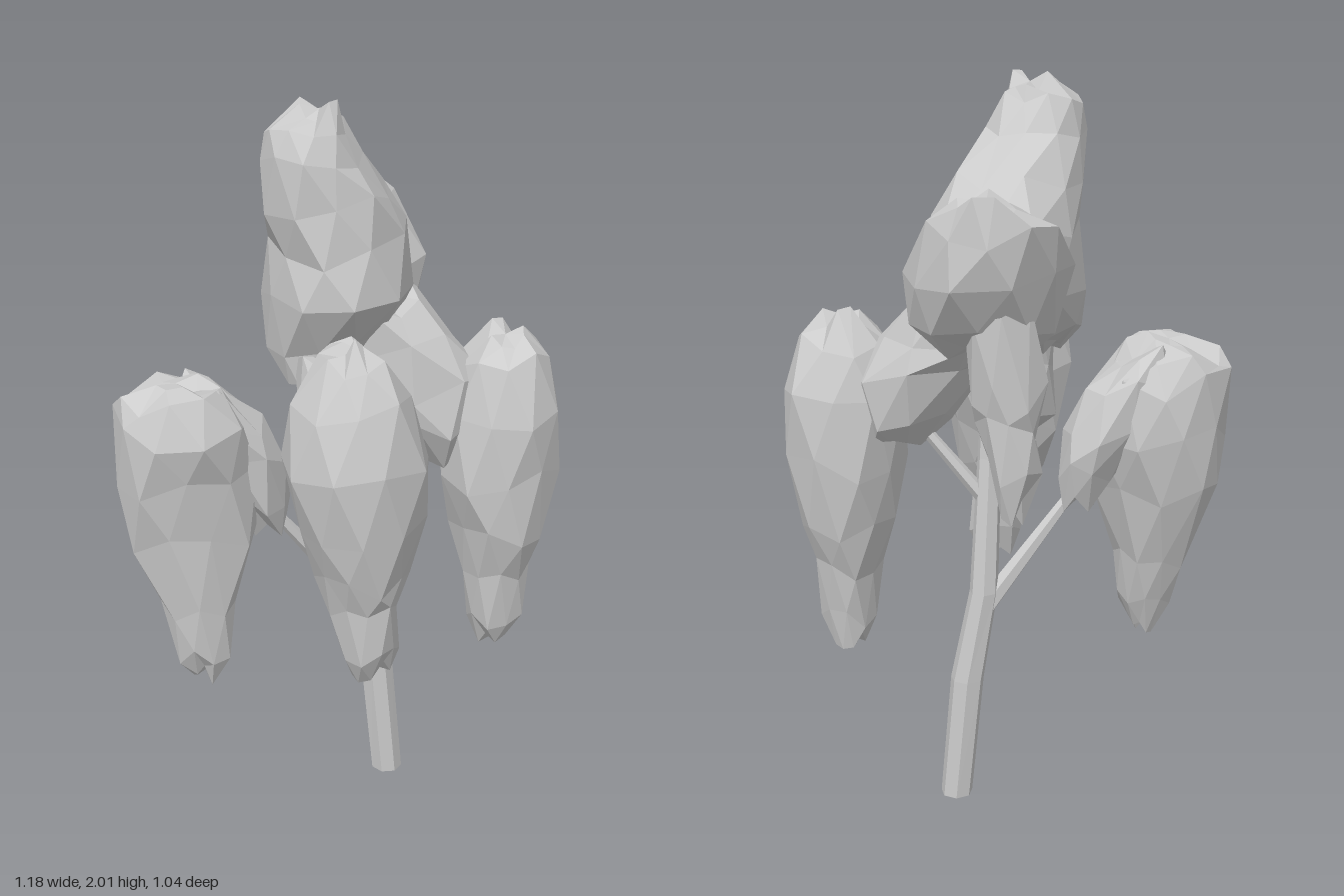
import * as THREE from 'three';

const bark = new THREE.MeshStandardMaterial({ color: 0xcccccc, flatShading: true });
const leaf = new THREE.MeshStandardMaterial({ color: 0xcccccc, flatShading: true });

function seeded(seed) {
  let s = seed;
  return () => (s = (s * 16807) % 2147483647) / 2147483647;
}

// Closed loft through sections [y, cx, cz, rx, rz] from bottom to top
function loft(name, sections, { sides = 9, rough = 0.09, seed = 7, twist = 0.5, material = leaf } = {}) {
  const rnd = seeded(seed * 7919);
  for (let i = 0; i < 5; i++) rnd();
  const pos = [], idx = [], n = sections.length;
  sections.forEach(([y, cx, cz, rx, rz], i) => {
    for (let j = 0; j < sides; j++) {
      const a = ((j + i * twist) / sides) * Math.PI * 2;
      const k = 1 + (rnd() * 2 - 1) * rough;
      const dy = (rnd() * 2 - 1) * rough * 0.4;
      pos.push(cx + Math.cos(a) * rx * k, y + dy, cz + Math.sin(a) * rz * k);
    }
  });
  for (let i = 0; i < n - 1; i++) for (let j = 0; j < sides; j++) {
    const a = i * sides + j, b = i * sides + (j + 1) % sides;
    const c = a + sides, d = b + sides;
    idx.push(a, c, b, b, c, d);
  }
  // end caps
  const ends = [sections[0], sections[n - 1]];
  ends.forEach(([y, cx, cz], e) => {
    const centre = pos.length / 3, base = e ? (n - 1) * sides : 0;
    pos.push(cx, y, cz);
    for (let j = 0; j < sides; j++) {
      const a = base + j, b = base + (j + 1) % sides;
      e ? idx.push(centre, b, a) : idx.push(centre, a, b);
    }
  });
  const g = new THREE.BufferGeometry();
  g.setAttribute('position', new THREE.Float32BufferAttribute(pos, 3));
  g.setIndex(idx);
  g.computeVertexNormals();
  const mesh = new THREE.Mesh(g, material);
  mesh.name = name;
  return mesh;
}

// Tapered branch between two points
function branch(name, from, to, r0, r1) {
  const a = new THREE.Vector3(...from), b = new THREE.Vector3(...to);
  const dir = b.clone().sub(a);
  const mesh = new THREE.Mesh(new THREE.CylinderGeometry(r1, r0, dir.length(), 6), bark);
  mesh.position.copy(a).addScaledVector(dir, 0.5);
  mesh.quaternion.setFromUnitVectors(new THREE.Vector3(0, 1, 0), dir.normalize());
  mesh.name = name;
  return mesh;
}

export function createModel() {
  const tree = new THREE.Group();
  tree.name = 'tree';

  // trunk and branches
  tree.add(
    loft('trunk', [
      [0, 0.118, -0.09, 0.045, 0.045], [0.36, 0.085, -0.085, 0.047, 0.045],
      [0.62, 0.04, -0.07, 0.04, 0.04], [1.0, 0.03, -0.04, 0.033, 0.033],
      [1.42, 0.02, -0.03, 0.025, 0.025],
    ], { sides: 7, rough: 0, twist: 0, material: bark }),
    branch('rightBranch', [0.04, 0.57, -0.07], [-0.2, 0.91, 0.06], 0.03, 0.014),
    branch('leftBranch', [0.03, 0.87, -0.05], [0.26, 1.16, -0.1], 0.022, 0.012),
  );

  // crown with its rear lobe and the tuft hanging below it
  tree.add(
    loft('crown', [
      [1.3, -0.09, 0.05, 0.06, 0.06], [1.38, -0.05, -0.03, 0.16, 0.17],
      [1.5, -0.02, -0.08, 0.2, 0.28], [1.64, -0.03, -0.09, 0.19, 0.29],
      [1.76, -0.05, -0.02, 0.165, 0.22], [1.86, -0.08, 0.04, 0.13, 0.15],
      [1.94, -0.09, 0.06, 0.1, 0.1], [1.98, -0.06, 0.04, 0.05, 0.05],
    ], { seed: 3, sides: 10, rough: 0.07 }),
    loft('crownRearLobe', [
      [1.35, 0.0, -0.2, 0.11, 0.14], [1.43, 0, -0.24, 0.19, 0.2],
      [1.56, -0.02, -0.27, 0.2, 0.22], [1.67, -0.05, -0.34, 0.15, 0.18],
      [1.74, -0.05, -0.41, 0.07, 0.08],
    ], { seed: 11 }),
    loft('rearTuft', [
      [0.97, -0.1, -0.36, 0.03, 0.03], [1.08, -0.1, -0.34, 0.07, 0.075],
      [1.18, -0.09, -0.35, 0.075, 0.08], [1.28, -0.09, -0.34, 0.09, 0.085],
      [1.45, -0.07, -0.34, 0.1, 0.1],
    ], { seed: 5, sides: 7, rough: 0.13 }),
  );

  // front clump and the lobe joining it to the crown
  tree.add(
    loft('frontClump', [
      [0.6, 0.1, 0.34, 0.05, 0.05], [0.67, 0.1, 0.35, 0.075, 0.08],
      [0.8, 0.09, 0.36, 0.085, 0.09], [0.88, 0.08, 0.35, 0.12, 0.13],
      [1.02, 0.07, 0.34, 0.16, 0.17], [1.18, 0.06, 0.33, 0.18, 0.2],
      [1.35, 0.06, 0.34, 0.15, 0.16], [1.46, 0.06, 0.37, 0.08, 0.08],
      [1.48, 0.06, 0.37, 0.03, 0.03],
    ], { seed: 17 }),
    loft('frontInnerLobe', [
      [0.98, 0.02, 0.2, 0.06, 0.06], [1.1, -0.01, 0.16, 0.1, 0.09],
      [1.24, -0.01, 0.13, 0.1, 0.09], [1.36, -0.04, 0.09, 0.08, 0.08],
    ], { seed: 41, sides: 7 }),
  );

  // drooping clump on the right side and its inner lobe
  tree.add(
    loft('rightClump', [
      [0.46, -0.37, 0.18, 0.03, 0.035], [0.53, -0.37, 0.18, 0.075, 0.07],
      [0.68, -0.38, 0.17, 0.1, 0.09], [0.88, -0.4, 0.16, 0.17, 0.14],
      [1.05, -0.4, 0.15, 0.185, 0.18], [1.2, -0.41, 0.16, 0.175, 0.19],
      [1.27, -0.43, 0.17, 0.13, 0.14], [1.3, -0.42, 0.17, 0.06, 0.06],
    ], { seed: 23 }),
    loft('rightInnerLobe', [
      [0.87, -0.2, 0.05, 0.05, 0.06], [0.96, -0.22, 0.06, 0.08, 0.11],
      [1.08, -0.27, 0.08, 0.12, 0.13], [1.19, -0.32, 0.1, 0.12, 0.13],
      [1.27, -0.36, 0.13, 0.08, 0.09],
    ], { seed: 29, sides: 8 }),
  );

  // drooping clump on the left side and the mass joining it to the crown
  tree.add(
    loft('leftClump', [
      [0.46, 0.42, -0.1, 0.045, 0.05], [0.54, 0.42, -0.09, 0.08, 0.075],
      [0.7, 0.42, -0.09, 0.09, 0.1], [0.82, 0.42, -0.09, 0.13, 0.14],
      [1.0, 0.42, -0.09, 0.16, 0.17], [1.18, 0.42, -0.09, 0.16, 0.17],
      [1.32, 0.41, -0.09, 0.12, 0.13], [1.38, 0.42, -0.08, 0.05, 0.06],
    ], { seed: 31 }),
    loft('leftJoiningMass', [
      [1.04, 0.27, -0.09, 0.06, 0.09], [1.13, 0.24, -0.09, 0.12, 0.16],
      [1.25, 0.19, -0.09, 0.18, 0.17], [1.37, 0.11, -0.09, 0.18, 0.17],
      [1.48, 0.05, -0.09, 0.14, 0.15],
    ], { seed: 37, sides: 8 }),
  );
  return tree;
}
